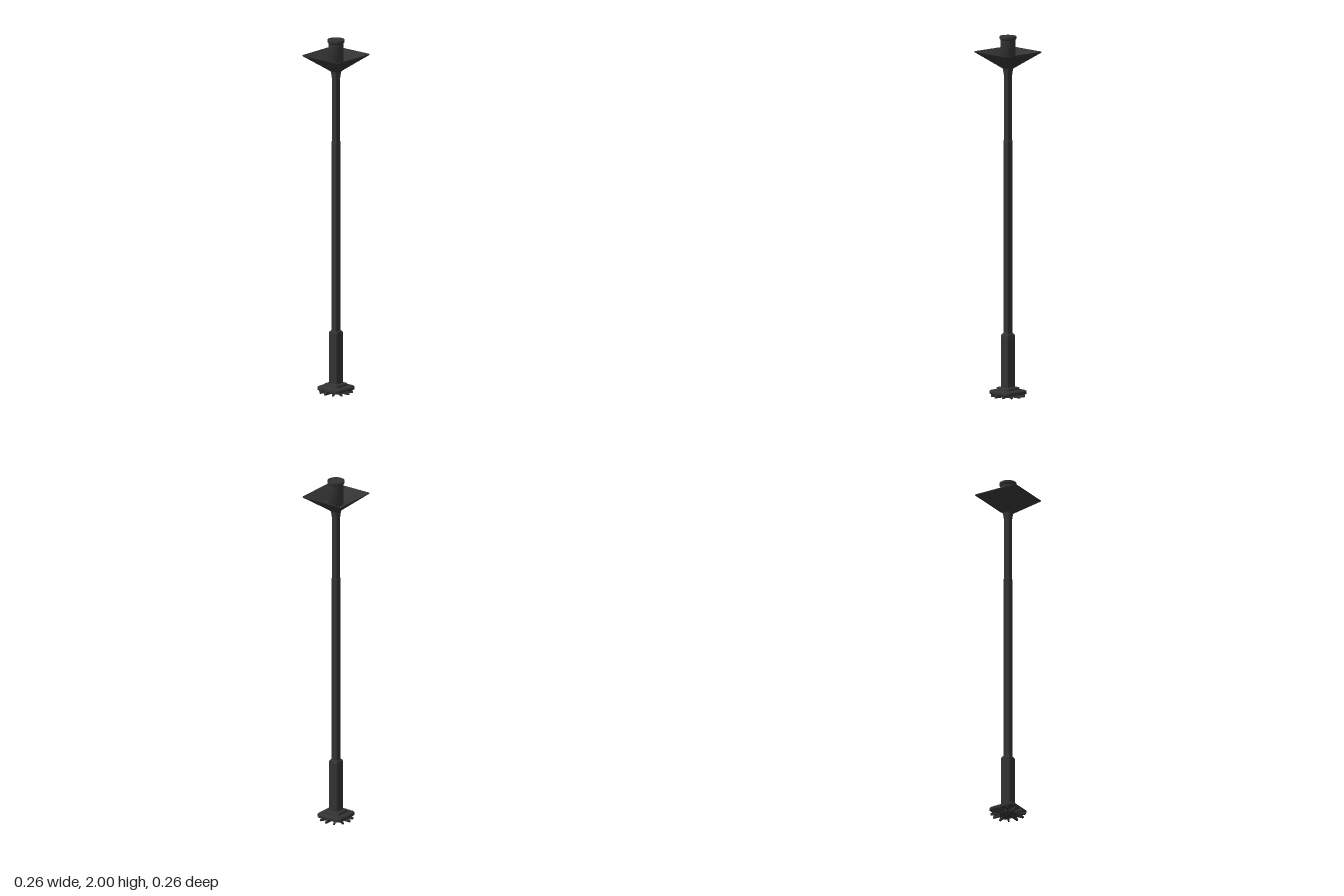
import * as THREE from 'three';

const material = new THREE.MeshStandardMaterial({ color: 0x333333 });

// Square cross-section with chamfered corners, counter-clockwise seen from above
function ring(half, chamfer) {
  const h = half, c = half - chamfer;
  return [[h, c], [h, -c], [c, -h], [-c, -h], [-h, -c], [-h, c], [-c, h], [c, h]];
}

// Loft through [half width, y, chamfer] sections, capped at both ends
function loft(sections) {
  const points = [];
  const rings = sections.map(([half, y, chamfer = 0.003]) =>
    ring(half, chamfer).map(([x, z]) => [x, y, z]));
  const tri = (a, b, c) => points.push(...a, ...b, ...c);
  for (let s = 0; s < rings.length - 1; s++) {
    for (let i = 0; i < 8; i++) {
      const j = (i + 1) % 8;
      const lower = rings[s], upper = rings[s + 1];
      tri(lower[i], lower[j], upper[j]);
      tri(lower[i], upper[j], upper[i]);
    }
  }
  const first = rings[0], last = rings[rings.length - 1];
  for (let i = 1; i < 7; i++) {
    tri(first[0], first[i + 1], first[i]);
    tri(last[0], last[i], last[i + 1]);
  }
  const geometry = new THREE.BufferGeometry();
  geometry.setAttribute('position', new THREE.Float32BufferAttribute(points, 3));
  geometry.computeVertexNormals();
  return geometry;
}

export function createModel() {
  const model = new THREE.Group();
  const add = (name, geometry, parent = model) => {
    const mesh = new THREE.Mesh(geometry, material);
    mesh.name = name;
    parent.add(mesh);
    return mesh;
  };

  // Ribbed foot under the base plate
  const foot = new THREE.Group();
  foot.name = 'ribbedFoot';
  model.add(foot);
  add('footHub', new THREE.CylinderGeometry(0.045, 0.045, 0.02, 24), foot).position.y = 0.01;
  const ribShape = new THREE.Shape();
  ribShape.moveTo(0.03, 0);
  ribShape.lineTo(0.095, 0);
  ribShape.lineTo(0.095, 0.008);
  ribShape.lineTo(0.075, 0.022);
  ribShape.lineTo(0.03, 0.022);
  const ribGeometry = new THREE.ExtrudeGeometry(ribShape, { depth: 0.01, bevelEnabled: false });
  ribGeometry.translate(0, 0, -0.005);
  for (let i = 0; i < 12; i++) {
    add('footRib', ribGeometry, foot).rotation.y = (i * Math.PI) / 6;
  }

  // Stepped square base plate
  add('basePlate', loft([
    [0.074, 0.014, 0.012], [0.078, 0.018, 0.012], [0.078, 0.03, 0.012],
    [0.072, 0.036, 0.012], [0.05, 0.039, 0.008], [0.047, 0.05, 0.008], [0.036, 0.054],
  ]));

  // Telescoping square post
  add('postSleeve', loft([[0.029, 0.04], [0.029, 0.335], [0.026, 0.346], [0.019, 0.352]]));
  add('lowerPost', loft([[0.0195, 0.34], [0.0195, 1.42], [0.017, 1.425]]));
  add('upperPost', loft([[0.017, 1.41], [0.017, 1.79]]));
  add('neck', loft([[0.017, 1.775], [0.019, 1.8], [0.024, 1.83]]));

  // Hollow square bowl: up the outside, over the rim, down to the inner floor
  add('bowl', loft([
    [0.021, 1.82], [0.131, 1.91], [0.132, 1.915], [0.129, 1.915], [0.064, 1.863],
  ]));

  // Round lamp with a raised lip at the top
  const lampProfile = [
    [0, 1.855], [0.042, 1.855], [0.042, 1.98], [0.042, 1.98], [0.047, 1.988],
    [0.047, 1.988], [0.047, 2], [0.047, 2], [0.044, 2], [0.044, 2], [0.043, 1.997], [0.043, 1.997], [0, 1.997],
  ].map(([r, y]) => new THREE.Vector2(r, y));
  add('lamp', new THREE.LatheGeometry(lampProfile, 32));

  return model;
}
